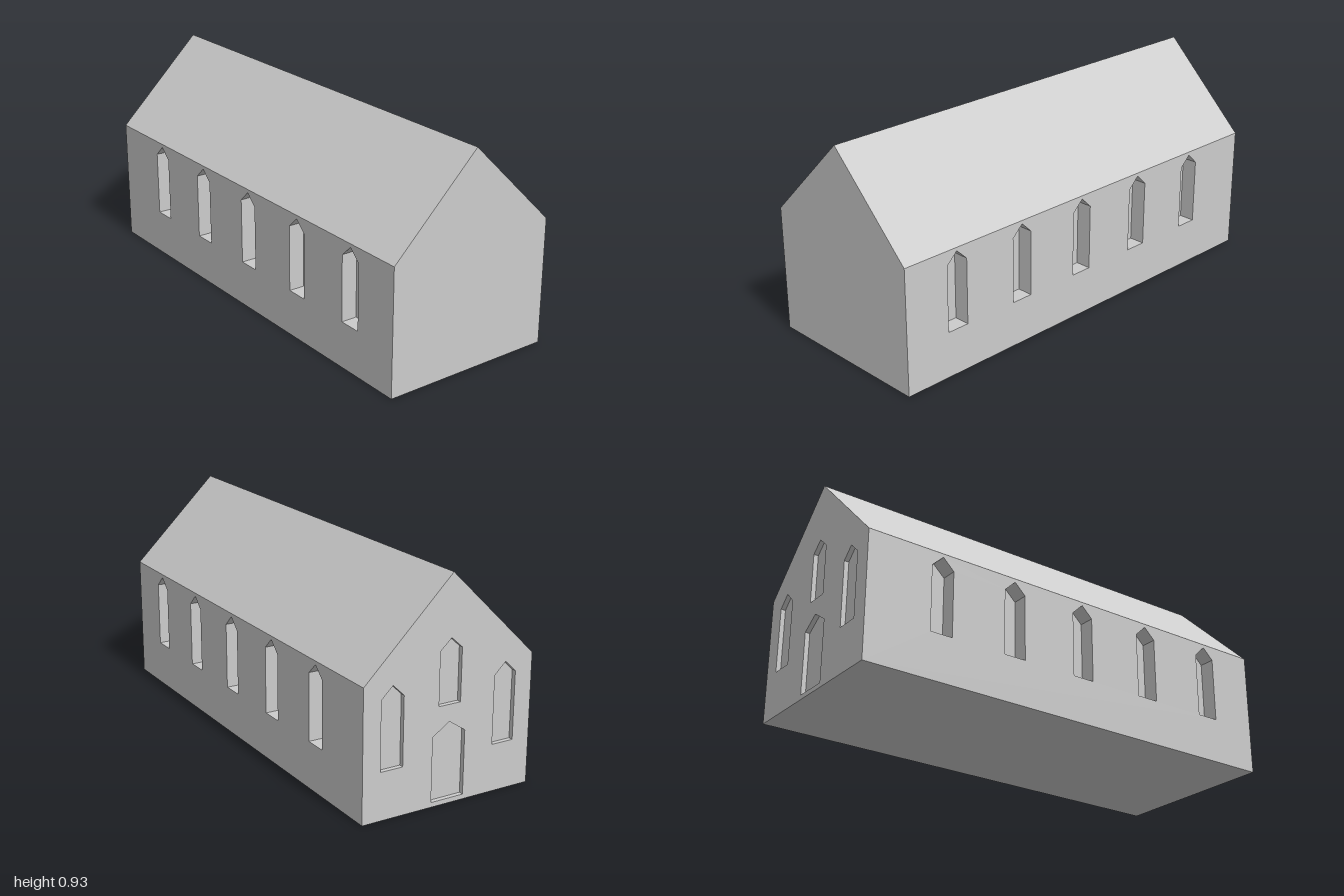
import * as THREE from 'three';

const HALF_X = 1, HALF_Z = 0.389, EAVE = 0.55, RIDGE = 0.93;

const stone = new THREE.MeshStandardMaterial({ color: 0xcccccc });
stone.name = 'palegrey';

const toShape = (pts) => new THREE.Shape(pts.map(([x, y]) => new THREE.Vector2(x, y)));

function addMesh(parent, name, geometry) {
  const mesh = new THREE.Mesh(geometry, stone);
  mesh.name = name;
  parent.add(mesh);
  return mesh;
}

// Pointed opening outline, counter-clockwise from the lower left
function pointed(x, bottom, shoulder, apex, width) {
  const h = width / 2;
  return [[x - h, bottom], [x + h, bottom], [x + h, shoulder], [x, apex], [x - h, shoulder]];
}

// Inward-facing strip joining an opening to its recessed panel
function revealGeometry(pts, depth) {
  const pos = [];
  pts.forEach(([ax, ay], i) => {
    const [bx, by] = pts[(i + 1) % pts.length];
    pos.push(ax, ay, 0, bx, by, 0, bx, by, -depth);
    pos.push(ax, ay, 0, bx, by, -depth, ax, ay, -depth);
  });
  const g = new THREE.BufferGeometry();
  g.setAttribute('position', new THREE.Float32BufferAttribute(pos, 3));
  g.computeVertexNormals();
  return g;
}

// Flat wall facing +z with recessed openings
function makeWall(name, outline, openings, depth) {
  const wall = new THREE.Group();
  wall.name = name;
  const face = toShape(outline);
  for (const { kind, pts } of openings) {
    face.holes.push(toShape(pts));
    addMesh(wall, kind + 'Reveal', revealGeometry(pts, depth));
    addMesh(wall, kind + 'Panel', new THREE.ShapeGeometry(toShape(pts))).position.z = -depth;
  }
  addMesh(wall, name + 'Face', new THREE.ShapeGeometry(face));
  return wall;
}

export function createModel() {
  const model = new THREE.Group();
  model.name = 'gabledHall';

  // Long side walls and roof slopes; windows line up across the building
  const windowXs = [-0.66, -0.31, 0.04, 0.39, 0.74];
  const sideOutline = [[-HALF_X, 0], [HALF_X, 0], [HALF_X, EAVE], [-HALF_X, EAVE]];
  const rise = RIDGE - EAVE;
  for (const [name, dir] of [['front', 1], ['back', -1]]) {
    const side = new THREE.Group();
    side.name = name + 'Side';
    side.rotation.y = dir > 0 ? 0 : Math.PI;
    const windows = windowXs.map((x) => ({
      kind: 'window', pts: pointed(x * dir, 0.2, 0.487, 0.535, 0.1),
    }));
    const wall = makeWall(name + 'Wall', sideOutline, windows, 0.07);
    wall.position.z = HALF_Z;
    side.add(wall);

    const roof = addMesh(side, name + 'Roof',
      new THREE.PlaneGeometry(2 * HALF_X, Math.hypot(HALF_Z, rise)));
    roof.rotation.x = -Math.atan2(HALF_Z, rise);
    roof.position.set(0, (EAVE + RIDGE) / 2, HALF_Z / 2);
    model.add(side);
  }

  // Gable ends: the right (-x) one has a door and three shallow windows
  const gable = [[-HALF_Z, 0], [HALF_Z, 0], [HALF_Z, EAVE], [0, RIDGE], [-HALF_Z, EAVE]];
  const entrance = [
    { kind: 'door', pts: pointed(0, 0.02, 0.29, 0.34, 0.15) },
    { kind: 'upperWindow', pts: pointed(0, 0.41, 0.63, 0.675, 0.1) },
    ...[-0.26, 0.26].map((z) => ({ kind: 'window', pts: pointed(z, 0.2, 0.487, 0.535, 0.1) })),
  ];
  const rightGable = makeWall('rightGable', gable, entrance, 0.02);
  rightGable.rotation.y = -Math.PI / 2;
  rightGable.position.x = -HALF_X;
  const leftGable = makeWall('leftGable', gable, [], 0);
  leftGable.rotation.y = Math.PI / 2;
  leftGable.position.x = HALF_X;
  model.add(rightGable, leftGable);

  // Underside
  addMesh(model, 'floor', new THREE.PlaneGeometry(2 * HALF_X, 2 * HALF_Z)).rotation.x = Math.PI / 2;

  return model;
}
